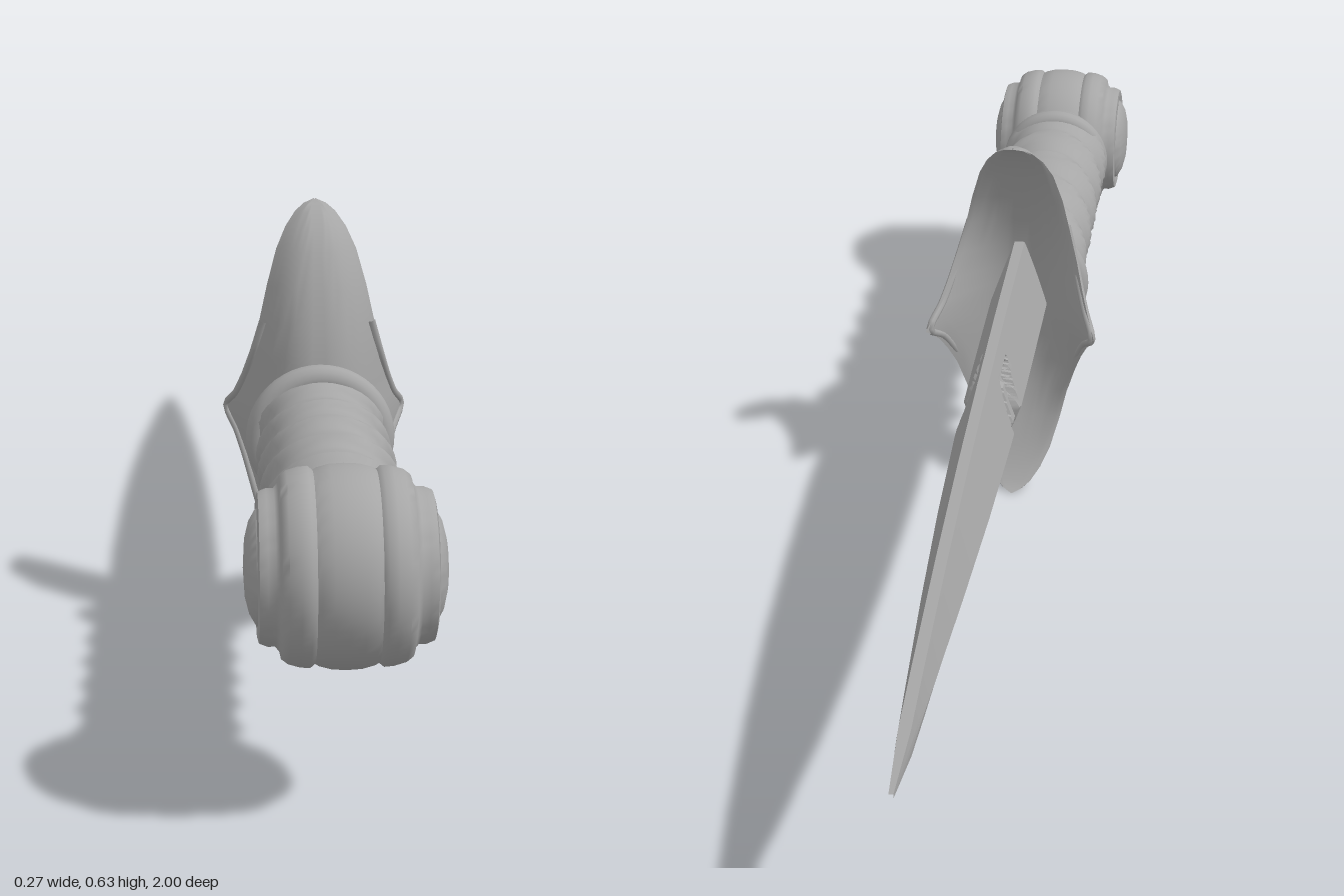
import * as THREE from 'three';
import { toCreasedNormals } from 'three/addons/utils/BufferGeometryUtils.js';

const CY = 0.315; // height of the dagger's long axis
const steel = new THREE.MeshStandardMaterial({ color: 0xa6a6a6 });
steel.name = 'grey steel';

// Linear interpolation through [position, value...] rows
function sample(rows, t, k) {
  for (let i = 1; i < rows.length; i++) {
    const a = rows[i - 1], b = rows[i];
    if (t <= b[0]) return a[k] + (b[k] - a[k]) * Math.max(0, (t - a[0]) / (b[0] - a[0]));
  }
  return rows[rows.length - 1][k];
}

// Skin over a list of closed rings
function loft(rings, crease) {
  const n = rings[0].length, index = [];
  for (let j = 0; j < rings.length - 1; j++) {
    for (let i = 0; i < n; i++) {
      const a = j * n + i, b = j * n + (i + 1) % n;
      index.push(a, b, b + n, a, b + n, a + n);
    }
  }
  const g = new THREE.BufferGeometry();
  g.setAttribute('position', new THREE.Float32BufferAttribute(rings.flat(2), 3));
  g.setIndex(index);
  return toCreasedNormals(g, crease);
}

function part(group, name, geometry) {
  const m = new THREE.Mesh(geometry, steel);
  m.name = name;
  group.add(m);
  return m;
}

// Depth of the curved groove sunk into both blade faces
function groove(z, dy) {
  const v = dy / 0.075;
  const across = Math.abs(z - (-0.135 + 0.03 * v * v)) / 0.036;
  const d = Math.max(across, Math.abs(v));
  if (d >= 1) return 0;
  const edge = Math.min(1, (1 - d) / 0.15);
  const core = across < 0.3 && Math.abs(v) < 0.7 ? 0.4 : 1;
  return 0.014 * edge * core;
}

function bladeGeometry() {
  // z, half height, half thickness
  const rows = [[-1, 0.003, 0.003], [-0.9, 0.02, 0.011], [-0.8, 0.037, 0.017], [-0.6, 0.064, 0.028],
    [-0.4, 0.084, 0.037], [-0.2, 0.097, 0.043], [0, 0.105, 0.045], [0.25, 0.108, 0.046]];
  const zs = rows.map(r => r[0]).filter(z => z < -0.2 || z > -0.05);
  for (let z = -0.2; z < -0.045; z += 0.005) zs.push(z);
  zs.sort((a, b) => a - b);
  const N = 40;
  return loft(zs.map(z => {
    const h = sample(rows, z, 1), w = sample(rows, z, 2), e = Math.min(0.008, w), ring = [];
    for (const side of [1, -1]) {
      for (let i = 0; i <= N; i++) {
        const v = side * (2 * i / N - 1);
        const x = e + (w - e) * (1 - Math.abs(v)) - groove(z, v * h);
        ring.push([side * x, CY + v * h, z]);
      }
    }
    return ring;
  }), 0.35);
}

// Guard: distance from axis, half width, front z, rim z
const guardRows = [[0, 0.135, 0.285, 0.11], [0.03, 0.12, 0.284, 0.145], [0.06, 0.109, 0.282, 0.168],
  [0.1, 0.097, 0.278, 0.192], [0.15, 0.083, 0.266, 0.206], [0.2, 0.072, 0.25, 0.203],
  [0.25, 0.058, 0.226, 0.188], [0.28, 0.044, 0.204, 0.172], [0.3, 0.029, 0.18, 0.157],
  [0.31, 0.016, 0.163, 0.148], [0.315, 0.001, 0.145, 0.14]];

function guardGeometry() {
  const N = 20, rings = [];
  const ys = [...guardRows.slice(1).map(r => -r[0]).reverse(), ...guardRows.map(r => r[0])];
  for (const y of ys) {
    const [w, front, rim] = [1, 2, 3].map(k => sample(guardRows, Math.abs(y), k));
    const back = Math.max(rim, front - 0.04), ring = [];
    for (let i = 0; i <= N; i++) {
      const u = 2 * i / N - 1;
      ring.push([u * w, CY + y, rim + (front - rim) * (1 - Math.abs(u) ** 2.6)]);
    }
    for (let i = 1; i < N; i++) {
      const u = 1 - 2 * i / N;
      ring.push([u * w, CY + y, rim + (back - rim) * (1 - Math.abs(u) ** 2)  - 0.002]);
    }
    rings.push(ring);
  }
  return loft(rings, 0.9);
}

// Grip with slanted wrapped ridges
function gripGeometry() {
  const N = 40, rings = [];
  for (let z = 0.26; z <= 0.821; z += 0.007) {
    const ring = [];
    for (let i = 0; i < N; i++) {
      const a = 2 * Math.PI * i / N;
      const t = (z - 0.042 * Math.sin(a) - 0.31) / 0.088;
      const f = t - Math.round(t);
      const r = 0.081 + 0.009 * Math.exp(-f * f * 60) + 0.002 * Math.cos(2 * Math.PI * f + 1);
      ring.push([r * 1.04 * Math.cos(a), CY + r * Math.sin(a), z]);
    }
    rings.push(ring);
  }
  return loft(rings, 1.2);
}

// Ribbed barrel pommel, turned about the x axis
function pommelGeometry() {
  const half = [[0.122, 0], [0.12, 0.035], [0.115, 0.055], [0.107, 0.069], [0.101, 0.072], [0.102, 0.077],
    [0.106, 0.083], [0.104, 0.09], [0.094, 0.094], [0.085, 0.094], [0.08, 0.1], [0.078, 0.109], [0.07, 0.115],
    [0.056, 0.119], [0.044, 0.12], [0.038, 0.115], [0.033, 0.118], [0.018, 0.122]];
  const profile = [...half.map(([x, r]) => [-x, r]), [0, 0.123], ...half.slice().reverse()];
  const g = new THREE.LatheGeometry(profile.map(([x, r]) => new THREE.Vector2(r, x)), 56);
  g.rotateZ(-Math.PI / 2);
  return toCreasedNormals(g, 0.9);
}

export function createModel() {
  const dagger = new THREE.Group();
  dagger.name = 'dagger';

  part(dagger, 'blade', bladeGeometry());
  part(dagger, 'crossguard', guardGeometry());
  part(dagger, 'grip', gripGeometry());
  part(dagger, 'pommel', pommelGeometry()).position.set(0, CY, 0.878);

  // Raised beads along the pointed side flaps of the guard
  for (const side of [1, -1]) {
    const points = [-0.15, -0.1, -0.06, -0.03, 0, 0.03, 0.06, 0.1, 0.15].map(y => {
      const [w, , rim] = [1, 2, 3].map(k => sample(guardRows, Math.abs(y), k));
      return new THREE.Vector3(side * (w - 0.005), CY + y, rim + 0.012);
    });
    part(dagger, 'guardBead', new THREE.TubeGeometry(new THREE.CatmullRomCurve3(points), 32, 0.006, 8));
  }

  // Collars at both ends of the grip: z, ring radius, tube radius
  for (const [name, z, R, r] of [['guardCollar', 0.308, 0.086, 0.02], ['pommelCollar', 0.778, 0.076, 0.018]]) {
    part(dagger, name, new THREE.TorusGeometry(R, r, 14, 48)).position.set(0, CY, z);
  }
  return dagger;
}
